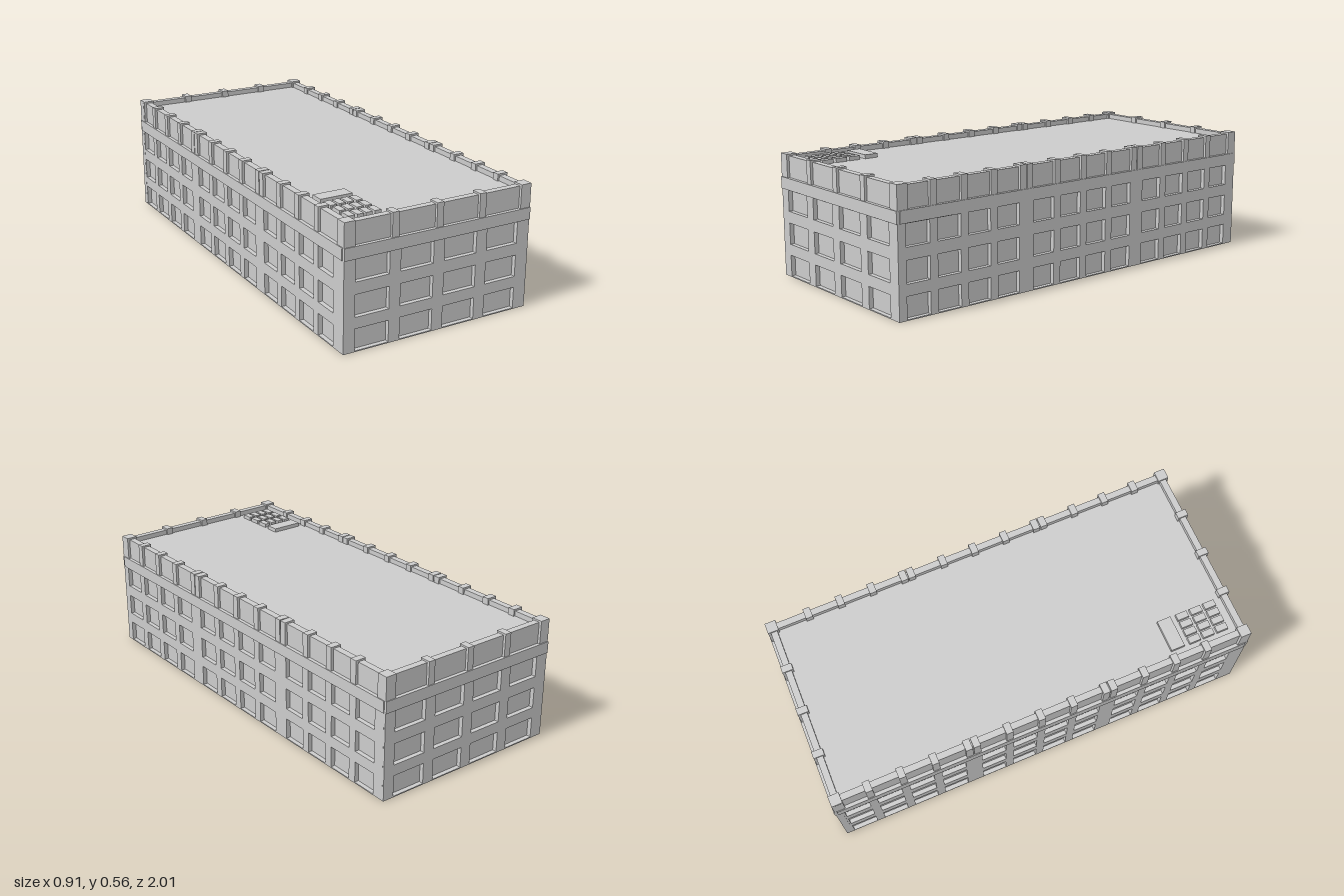
import * as THREE from 'three';

const mat = new THREE.MeshStandardMaterial({ color: 0xcccccc, flatShading: true, side: THREE.DoubleSide });
const ROWS = [[0.005, 0.1], [0.15, 0.247], [0.3, 0.395]];
const THICK = 0.03;

// Box given by its limits on each axis
function block(parent, name, x0, x1, y0, y1, z0, z1) {
  const mesh = new THREE.Mesh(new THREE.BoxGeometry(x1 - x0, y1 - y0, z1 - z0), mat);
  mesh.position.set((x0 + x1) / 2, (y0 + y1) / 2, (z0 + z1) / 2);
  mesh.name = name;
  parent.add(mesh);
}

function rectangle(Type, x0, x1, y0, y1) {
  const r = new Type();
  r.moveTo(x0, y0);
  r.lineTo(x1, y0);
  r.lineTo(x1, y1);
  r.lineTo(x0, y1);
  r.closePath();
  return r;
}

// One facade: outer face on local z = 0, running from u0 to u1 along local x
function facade(name, u0, u1, windows, pilasters) {
  const g = new THREE.Group();
  g.name = name;

  // Wall pierced by three rows of windows
  const shape = rectangle(THREE.Shape, u0, u1, 0, 0.42);
  for (const [a, b] of windows)
    for (const [y0, y1] of ROWS) shape.holes.push(rectangle(THREE.Path, a, b, y0, y1));
  const wall = new THREE.Mesh(new THREE.ExtrudeGeometry(shape, { depth: THICK, bevelEnabled: false }), mat);
  wall.position.z = -THICK;
  wall.name = 'wall';
  g.add(wall);

  // Recessed panes
  for (const [a, b] of windows)
    for (const [y0, y1] of ROWS) block(g, 'windowPane', a, b, y0, y1, -0.024, -0.02);

  // Ledge, set-back parapet and its pilasters
  block(g, 'ledge', u0, u1, 0.397, 0.45, -0.04, 0.004);
  block(g, 'parapet', u0, u1, 0.45, 0.547, -0.042, -0.012);
  for (const u of pilasters) block(g, 'pilaster', u - 0.016, u + 0.016, 0.45, 0.555, -0.05, 0);
  return g;
}

export function createModel() {
  const model = new THREE.Group();
  model.name = 'building';

  // Short facades: four wide bays
  const endWindows = [[-0.398, -0.24], [-0.187, -0.031], [0.022, 0.18], [0.233, 0.389]];
  const endPilasters = [-0.215, -0.005, 0.205];

  // Long facades: three groups of four bays, with paired pilasters between groups
  const sideWindows = [];
  const sidePilasters = [];
  for (let s = 0; s < 3; s++) {
    const start = -0.962 + s * 0.654;
    for (let i = 0; i < 4; i++) {
      const a = start + i * 0.1535;
      sideWindows.push([a, a + 0.115]);
      if (i > 0) sidePilasters.push(a - 0.019);
    }
    if (s > 0) sidePilasters.push(start - 0.019, start - 0.056);
  }

  const front = facade('frontFacade', -0.45, 0.45, endWindows, endPilasters);
  front.position.z = 1;

  // The back runs slightly askew
  const back = facade('backFacade', -0.45, 0.45, endWindows, endPilasters);
  back.position.z = -0.9915;
  back.rotation.y = Math.PI - 0.019;

  const left = facade('leftFacade', -0.99, 0.975, sideWindows, sidePilasters);
  left.position.x = 0.45;
  left.rotation.y = Math.PI / 2;

  const right = facade('rightFacade', -0.99, 0.99, sideWindows, sidePilasters);
  right.position.x = -0.45;
  right.rotation.y = -Math.PI / 2;
  model.add(front, back, left, right);

  // Corner posts of the parapet
  for (const [x, z] of [[-0.425, 0.975], [0.425, 0.975], [-0.425, -0.974], [0.425, -0.959]])
    block(model, 'cornerPost', x - 0.025, x + 0.025, 0.45, 0.555, z - 0.025, z + 0.025);

  // Roof deck
  block(model, 'roof', -0.43, 0.43, 0.518, 0.524, -0.965, 0.975);

  // Rooftop slab and grid of small skylights
  block(model, 'roofSlab', -0.38, -0.23, 0.524, 0.542, 0.64, 0.705);
  for (let i = 0; i < 4; i++)
    for (let j = 0; j < 3; j++) {
      const x = -0.382 + i * 0.04, z = 0.73 + j * 0.068;
      block(model, 'skylight', x, x + 0.03, 0.524, 0.542, z, z + 0.054);
    }
  return model;
}
